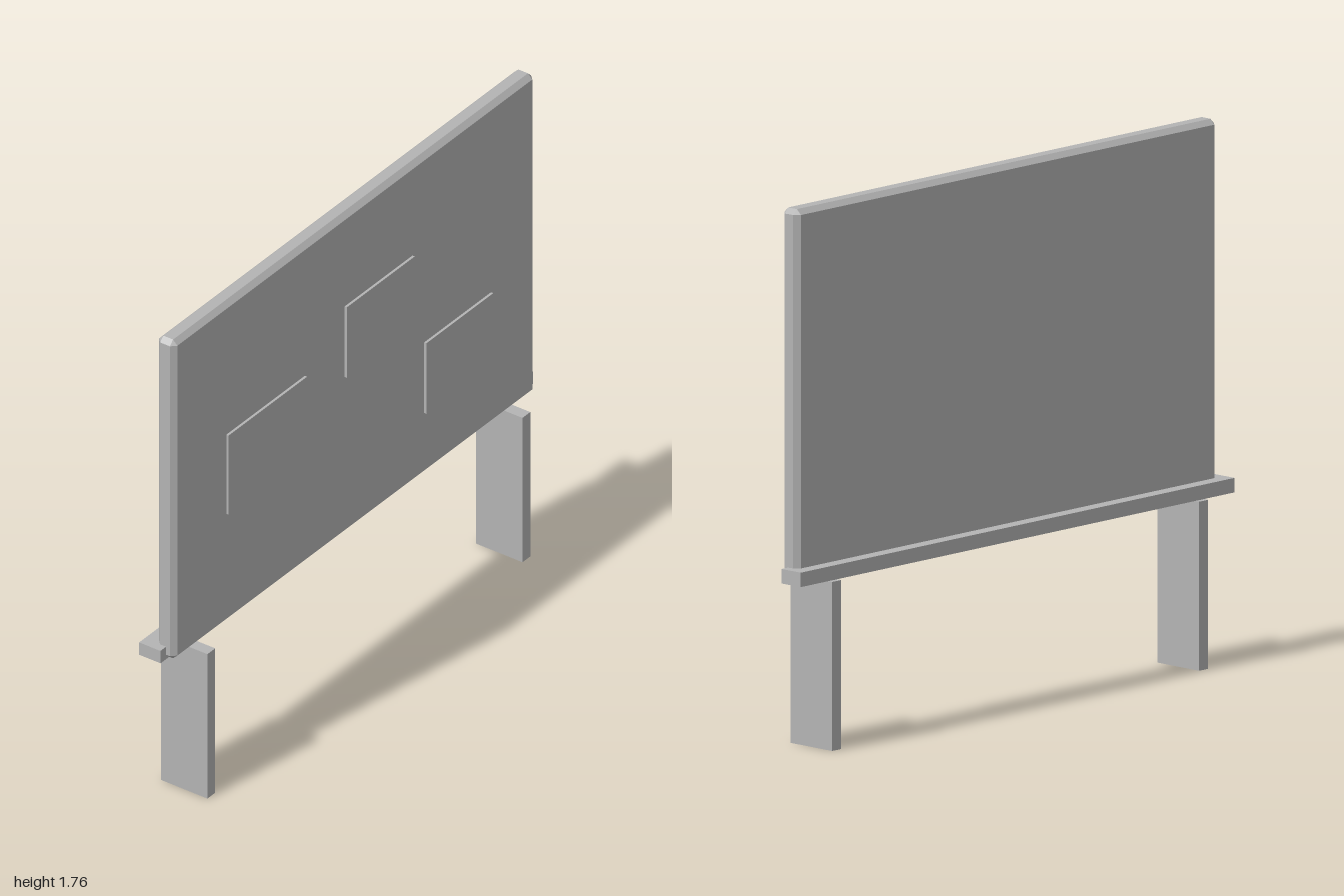
import * as THREE from 'three';
import { ConvexGeometry } from 'three/addons/geometries/ConvexGeometry.js';

const grey = new THREE.MeshStandardMaterial({ color: 0xb4b4b4 });
grey.name = 'grey';

// Box given by its lower and upper corners
function box(name, [x0, y0, z0], [x1, y1, z1]) {
  const mesh = new THREE.Mesh(new THREE.BoxGeometry(x1 - x0, y1 - y0, z1 - z0), grey);
  mesh.position.set((x0 + x1) / 2, (y0 + y1) / 2, (z0 + z1) / 2);
  mesh.name = name;
  return mesh;
}

// Box with every edge and corner cut flat by c; arguments are half sizes
function chamferedBox(hx, hy, hz, c) {
  const points = [];
  for (const sx of [-1, 1]) for (const sy of [-1, 1]) for (const sz of [-1, 1]) {
    points.push(
      new THREE.Vector3(sx * hx, sy * (hy - c), sz * (hz - c)),
      new THREE.Vector3(sx * (hx - c), sy * hy, sz * (hz - c)),
      new THREE.Vector3(sx * (hx - c), sy * (hy - c), sz * hz),
    );
  }
  return new ConvexGeometry(points);
}

export function createModel() {
  const model = new THREE.Group();
  model.name = 'noticeBoard';

  // Main panel
  const board = new THREE.Mesh(chamferedBox(0.97, 0.605, 0.036, 0.017), grey);
  board.position.y = 1.155;
  board.name = 'board';
  model.add(board);

  // Ledge behind the lower edge
  model.add(box('ledge', [-1, 0.55, -0.08], [1, 0.597, 0.004]));

  // Flat legs
  model.add(box('leftLeg', [0.825, 0, -0.091], [0.867, 0.548, 0.091]));
  model.add(box('rightLeg', [-0.867, 0, -0.091], [-0.825, 0.548, 0.091]));

  // Notices standing just proud of the front
  const notices = [
    [-0.7, 0.974, -0.278, 1.274],
    [-0.064, 1.156, 0.3, 1.424],
    [0.363, 0.793, 0.722, 1.061],
  ];
  notices.forEach(([x0, y0, x1, y1], i) => {
    model.add(box(`notice${i + 1}`, [x0, y0, 0.043], [x1, y1, 0.052]));
  });

  return model;
}
